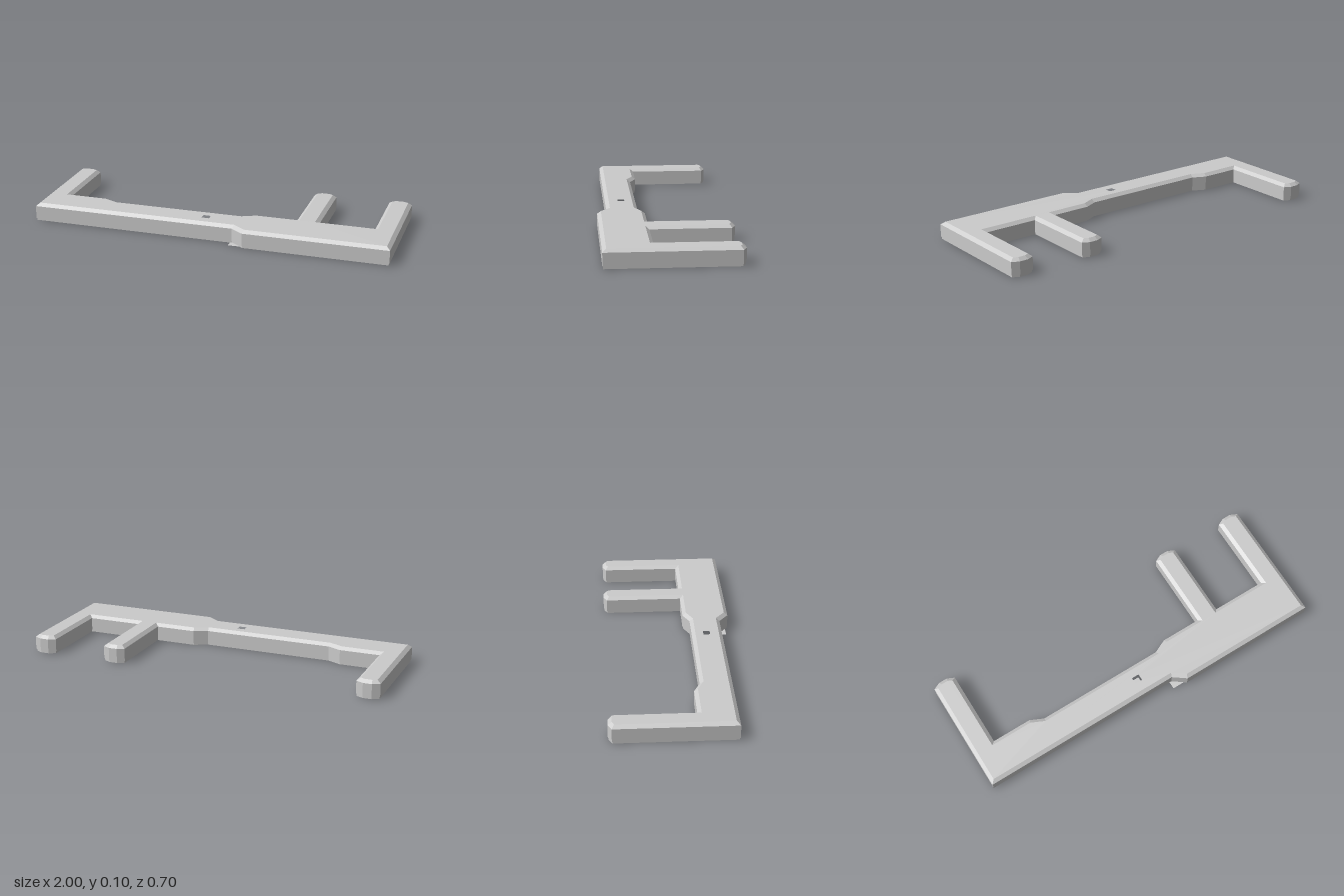
import * as THREE from 'three';

const V = (x, y) => new THREE.Vector2(x, y);

// Rounded-off end of a prong, walked from its +x side to its -x side
function prongTip(cx, half) {
  return [[half, 0.333], [0.024, 0.352], [-0.024, 0.352], [-half, 0.333]].map(([dx, v]) => V(cx + dx, v));
}

// Plan outline, counter-clockwise, with v = -z
function planOutline() {
  return [
    V(-1, -0.3), V(0.14, -0.3), V(0.21, -0.352), V(1, -0.352),
    ...prongTip(0.936, 0.064),
    V(0.872, -0.095), V(0.57, -0.095),
    ...prongTip(0.507, 0.063),
    V(0.444, -0.095), V(0.22, -0.095), V(0.145, -0.13),
    V(-0.575, -0.13), V(-0.65, -0.095), V(-0.872, -0.095),
    ...prongTip(-0.936, 0.064),
  ];
}

// Move every edge inwards by d, keeping mitred corners
function inset(points, d) {
  const n = points.length;
  return points.map((p, i) => {
    const a = p.clone().sub(points[(i + n - 1) % n]).normalize();
    const b = points[(i + 1) % n].clone().sub(p).normalize();
    const na = V(-a.y, a.x), nb = V(-b.y, b.x);
    return p.clone().addScaledVector(na.clone().add(nb), d / (1 + na.dot(nb)));
  });
}

function createSolid() {
  const pos = [];
  const put = (p, y) => pos.push(p.x, y, -p.y);

  // Wall between two matching loops
  const wall = (low, y0, high, y1) => low.forEach((p, i) => {
    const j = (i + 1) % low.length;
    put(p, y0); put(low[j], y0); put(high[j], y1);
    put(p, y0); put(high[j], y1); put(high[i], y1);
  });
  // Flat face on a loop, with optional holes
  const cap = (loop, y, up, holes = []) => {
    const all = loop.concat(...holes);
    for (const [a, b, c] of THREE.ShapeUtils.triangulateShape(loop, holes)) {
      for (const k of up ? [a, b, c] : [a, c, b]) put(all[k], y);
    }
  };

  const outline = planOutline();
  const foot = inset(outline, 0.004);
  const top = inset(outline, 0.02);
  const layers = [[foot, 0], [foot, 0.013], [outline, 0.013], [outline, 0.083], [top, 0.099]];
  for (let i = 0; i + 1 < layers.length; i++) wall(...layers[i], ...layers[i + 1]);

  // Small square pit in the top face
  const pit = [V(-0.052, -0.193), V(-0.052, -0.23), V(-0.01, -0.23), V(-0.01, -0.193)];
  const pitFloor = pit.slice().reverse();
  cap(foot, 0, false);
  cap(top, 0.099, true, [pit]);
  wall(pit, 0.05, pit, 0.099);
  cap(pitFloor, 0.05, true);

  // Reverse the pit loop's floor if needed is unnecessary: pitFloor runs clockwise-free
  const geo = new THREE.BufferGeometry();
  geo.setAttribute('position', new THREE.Float32BufferAttribute(pos, 3));
  geo.computeVertexNormals();
  return geo;
}

export function createModel() {
  const group = new THREE.Group();
  group.name = 'prongedBar';

  // Bevelled bar with three prongs
  const bar = new THREE.Mesh(createSolid(), new THREE.MeshStandardMaterial({ color: 0xcccccc, flatShading: true }));
  bar.name = 'barWithProngs';
  group.add(bar);

  // Thin tab under the front step
  const tab = new THREE.Mesh(
    new THREE.PlaneGeometry(0.075, 0.045).rotateX(-Math.PI / 2),
    new THREE.MeshStandardMaterial({ color: 0xcccccc, side: THREE.DoubleSide })
  );
  tab.name = 'stepTab';
  tab.position.set(0.1675, 0.002, 0.316);
  group.add(tab);
  return group;
}
